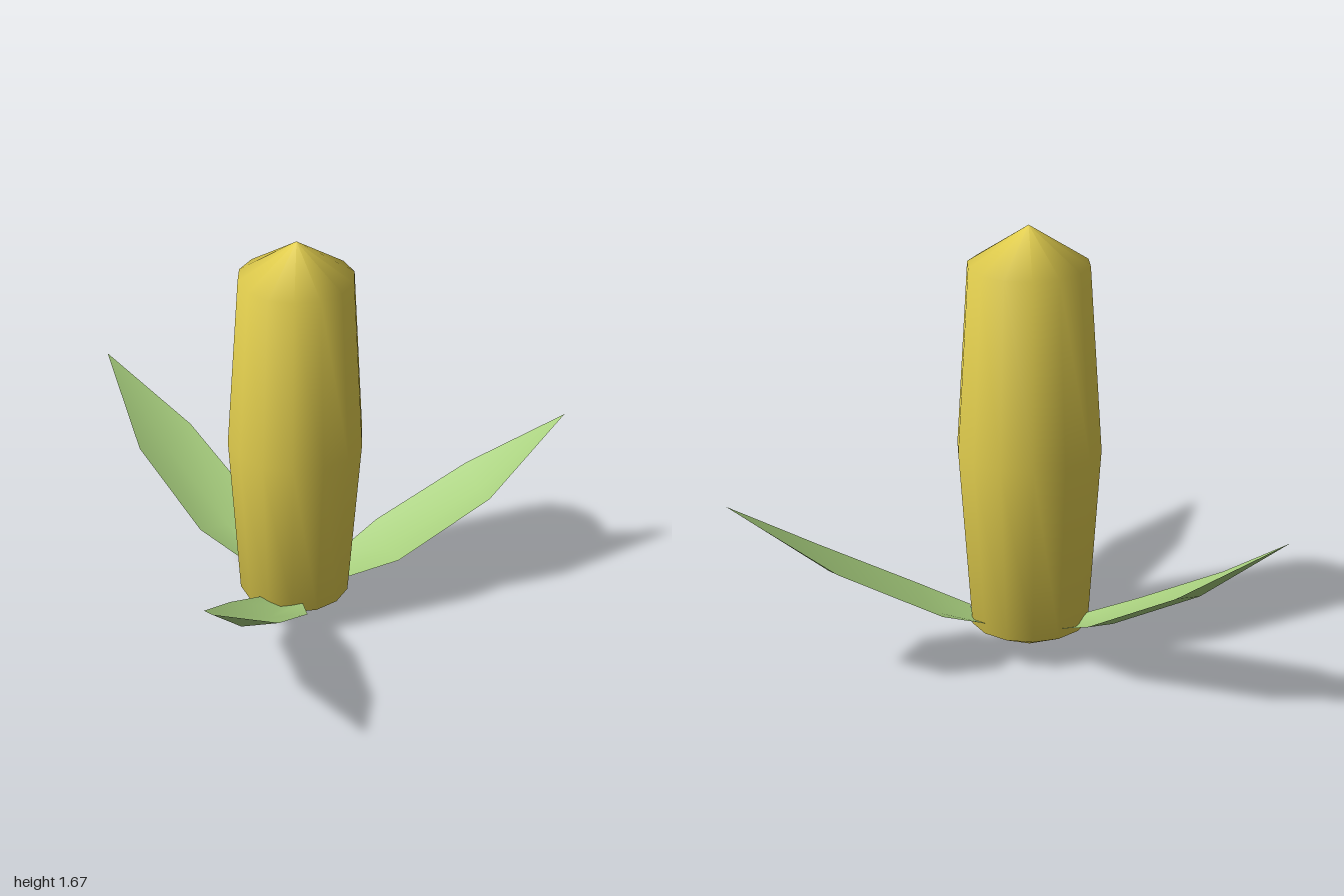
import * as THREE from 'three';

// Upward-facing leaf with a sunken midrib, growing along +z from the cob's axis.
function leafGeometry() {
  // [half width, margin y, margin z, midrib y, midrib z]
  const rows = [
    [0.09, 0.165, 0.21, 0.14, 0.22],
    [0.158, 0.257, 0.4, 0.21, 0.4],
    [0.147, 0.485, 0.785, 0.44, 0.785],
  ];
  const points = [];
  for (const [w, y, z, ribY, ribZ] of rows) points.push(-w, y, z, 0, ribY, ribZ, w, y, z);
  points.push(0, 0.75, 1.148);

  const index = [];
  for (let r = 0; r < rows.length - 1; r++) {
    for (let c = 0; c < 2; c++) {
      const a = r * 3 + c;
      index.push(a, a + 3, a + 1, a + 1, a + 3, a + 4);
    }
  }
  // pointed tip
  index.push(6, 9, 7, 7, 9, 8);

  const geometry = new THREE.BufferGeometry();
  geometry.setAttribute('position', new THREE.Float32BufferAttribute(points, 3));
  geometry.setIndex(index);
  geometry.computeVertexNormals();
  return geometry;
}

export function createModel() {
  const model = new THREE.Group();
  model.name = 'cornCob';
  const yellow = new THREE.MeshStandardMaterial({ name: 'cornYellow', color: 0xe2ce4e });
  const green = new THREE.MeshStandardMaterial({ name: 'leafGreen', color: 0xa8cf7e, side: THREE.DoubleSide });

  // Cob: fourteen-sided barrel with pointed ends
  const profile = [[0, 0], [0.226, 0.12], [0.272, 0.82], [0.226, 1.525], [0, 1.67]]
    .map(([r, y]) => new THREE.Vector2(r, y));
  const cob = new THREE.Mesh(new THREE.LatheGeometry(profile, 14, Math.PI / 2), yellow);
  cob.name = 'cob';
  model.add(cob);

  // Three leaves evenly spaced around the base
  const leaf = leafGeometry();
  ['frontLeaf', 'backLeftLeaf', 'backRightLeaf'].forEach((name, i) => {
    const mesh = new THREE.Mesh(leaf, green);
    mesh.name = name;
    mesh.rotation.y = (i * Math.PI * 2) / 3;
    model.add(mesh);
  });

  // The front leaf reaches further forward than the other two reach back
  model.position.set(0.002, 0, -0.287);
  return model;
}
